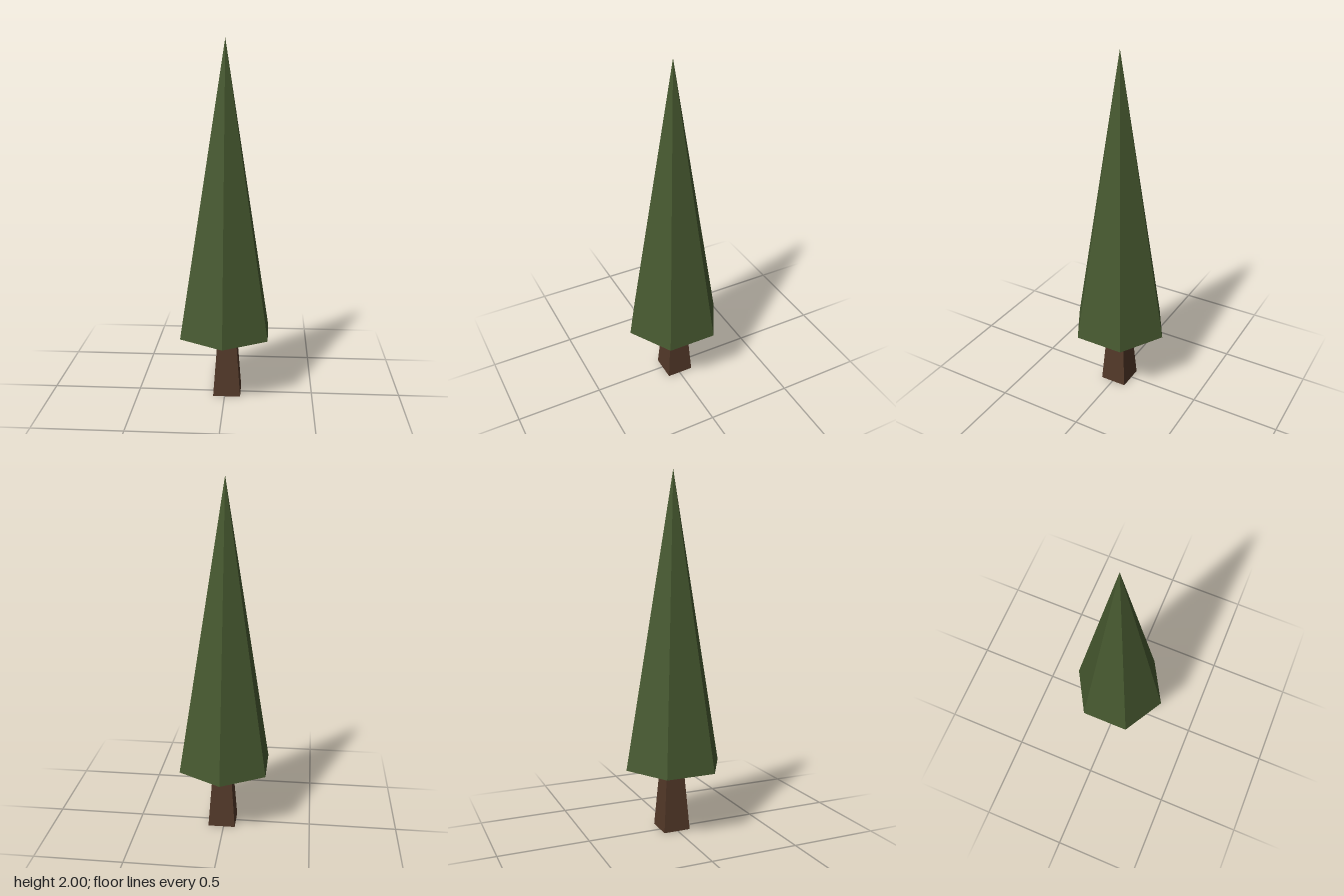
import * as THREE from 'three';

export function createModel() {
  const group = new THREE.Group();
  const add = (name, geometry, color, x, y, z) => {
    const mesh = new THREE.Mesh(geometry, new THREE.MeshStandardMaterial({ color, flatShading: true }));
    mesh.name = name;
    mesh.position.set(x, y, z);
    group.add(mesh);
  };

  // six-sided foliage cone with a corner facing the front
  const base = 0.37, top = 2;
  add('foliage', new THREE.ConeGeometry(0.281, top - base, 6), 0x46582f, 0, (top + base) / 2, 0);

  // square tapered trunk, slightly off centre
  const trunkHeight = 0.375;
  const trunk = new THREE.CylinderGeometry(0.05 * Math.SQRT2, 0.0775 * Math.SQRT2, trunkHeight, 4);
  trunk.rotateY(Math.PI / 4);
  add('trunk', trunk, 0x523828, 0.012, trunkHeight / 2, -0.004);

  return group;
}
